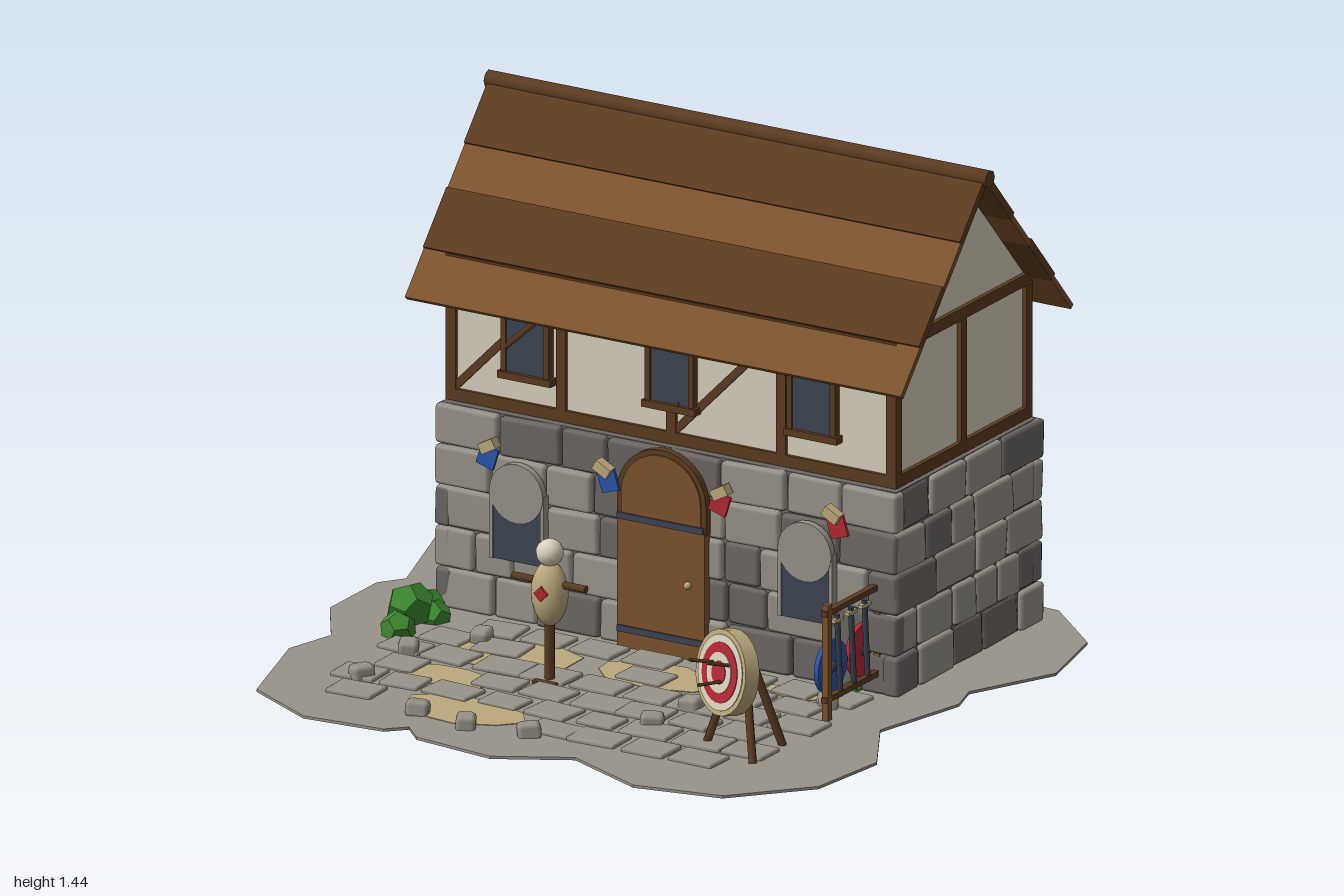
import * as THREE from 'three';
import { RoundedBoxGeometry } from 'three/addons/geometries/RoundedBoxGeometry.js';

const mat = (name, color) => Object.assign(new THREE.MeshStandardMaterial({ color }), { name });
const plaster = mat('plaster', 0xd9d1be), timber = mat('dark timber', 0x5c3c20), wood = mat('light wood', 0x7c532c);
const stone = mat('stone', 0x98938a), darkStone = mat('dark stone', 0x6c6763), glass = mat('glass and iron', 0x3d4454);
const sand = mat('sand and straw', 0xbcaa7c), red = mat('red', 0xb52834), blue = mat('blue', 0x2b55ad), green = mat('leaf green', 0x3c8630);

let seed = 7;
const rnd = (a = 0, b = 1) => {
  seed = (seed * 16807) % 2147483647;
  return a + (b - a) * seed / 2147483647;
};

function add(parent, name, geo, material, x = 0, y = 0, z = 0) {
  const m = new THREE.Mesh(geo, material);
  m.name = name;
  m.position.set(x, y, z);
  parent.add(m);
  return m;
}
const box = (p, name, m, w, h, d, x, y, z) => add(p, name, new THREE.BoxGeometry(w, h, d), m, x, y, z);
const group = (p, name, x = 0, y = 0, z = 0) => {
  const g = new THREE.Group();
  g.name = name;
  g.position.set(x, y, z);
  p.add(g);
  return g;
};
// Round bar between two points
function bar(p, name, m, a, b, r, sides = 6) {
  const A = new THREE.Vector3(...a), B = new THREE.Vector3(...b), d = B.clone().sub(A);
  const o = add(p, name, new THREE.CylinderGeometry(r, r, d.length(), sides), m);
  o.position.copy(A).add(B).multiplyScalar(0.5);
  o.quaternion.setFromUnitVectors(new THREE.Vector3(0, 1, 0), d.normalize());
  return o;
}
// Disc facing +z
const disc = (p, name, m, r, t, x, y, z, n = 24) =>
  add(p, name, new THREE.CylinderGeometry(r, r, t, n).rotateX(Math.PI / 2), m, x, y, z);
// Flat outline lying on the ground, given as x, z pairs
function slab(p, name, m, pts, t, y) {
  const s = new THREE.Shape(pts.map(([x, z]) => new THREE.Vector2(x, -z)));
  return add(p, name, new THREE.ExtrudeGeometry(s, { depth: t, bevelEnabled: false }).rotateX(-Math.PI / 2), m, 0, y, 0);
}

const CX = 0.016, CZ = -0.43;

function buildGround(root) {
  const g = group(root, 'ground');
  slab(g, 'groundSlab', stone, [[-.65, -.93], [-.37, -.91], [-.33, -.88], [-.13, -.88], [.10, -.91], [.15, -.88], [.43, -.88],
    [.47, -.91], [.74, -.89], [.94, -.71], [1, -.45], [.88, -.2], [.91, -.1], [.84, .19], [.97, .42], [.94, .67], [.76, .87],
    [.51, .92], [.26, .81], [.06, .92], [-.19, .89], [-.25, .83], [-.3, .88], [-.54, .9], [-.76, .78], [-.86, .45],
    [-.82, .3], [-.94, .11], [-.94, -.13], [-.89, -.2], [-1, -.53], [-.89, -.78]], 0.008, 0.034);
  // Sandy patches
  for (const [x, z, rx, rz] of [[-.3, .2, .2, .14], [.1, .13, .2, .1], [-.2, .64, .2, .1], [-.38, .42, .15, .08], [.5, .05, .1, .05]]) {
    const pts = Array.from({ length: 9 }, (_, i) => {
      const a = i * Math.PI * 2 / 9, k = rnd(.8, 1.1);
      return [x + Math.cos(a) * rx * k, z + Math.sin(a) * rz * k];
    });
    slab(g, 'sandPatch', sand, pts, 0.003, 0.041);
  }
  // Paving in staggered rows
  for (let r = 0; r < 6; r++) {
    for (let c = 0; c < 9; c++) {
      const x = -.6 + c * .155 + (r % 2) * .07 + rnd(-.01, .01), z = .035 + r * .123;
      const w = rnd(.115, .15), d = rnd(.09, .11), a = rnd(-.1, .1);
      if (x > .67 || (r === 5 && c > 0 && c < 4) || (r < 2 && (c === 3 || c === 5) && rnd() < .8) || rnd() < .06) continue;
      add(g, 'pavingStone', new RoundedBoxGeometry(w, .018, d, 1, .006), stone, x, .044, z).rotation.y = a;
    }
  }
  // Loose boulders around the yard
  for (const [x, z] of [[-.57, .31], [-.57, .55], [-.29, .72], [-.12, .75], [.06, .72], [.3, .48], [.32, .31], [.29, .14], [.62, .1], [-.45, .13]]) {
    const b = add(g, 'boulder', new RoundedBoxGeometry(.065, .05, .055, 1, .014), stone, x, .055, z);
    b.rotation.set(rnd(-.15, .15), rnd(0, 3), rnd(-.15, .15));
  }
  // Leafy clumps
  for (const [x, y, z, r] of [[-.7, .085, .09, .068], [-.67, .06, .2, .05], [-.7, .06, .01, .055], [-.65, .05, .05, .05],
    [.57, .03, -.33, .034], [.24, .03, -.48, .034], [-.25, .03, -.72, .034], [.6, .03, -.05, .034]]) {
    add(g, 'bush', new THREE.DodecahedronGeometry(r), green, x, y, z).rotation.set(.3, x * 9 + z * 5, .2);
  }
}

function buildStonework(root) {
  const g = group(root, 'stoneFloor', CX, 0, CZ);
  box(g, 'wallCore', darkStone, 1.43, .585, .72, 0, .325, 0);
  // One wall of five courses, centred on local x and facing local +z
  const wall = (len, dist, ang) => {
    const w = group(g, 'stoneWall');
    w.rotation.y = ang;
    for (let r = 0; r < 5; r++) {
      let x = -len / 2;
      while (x < len / 2 - .01) {
        let bw = rnd(.11, .22);
        if (len / 2 - x - bw < .09) bw = len / 2 - x;
        const b = add(w, 'stoneBlock', new RoundedBoxGeometry(bw - .005, .112, .05, 1, .011),
          rnd() < .3 ? darkStone : stone, x + bw / 2, .096 + r * .116, dist - .027 + rnd(-.006, .004));
        b.rotation.set(rnd(-.05, .05), rnd(-.03, .03), rnd(-.02, .02));
        x += bw;
      }
    }
  };
  for (const k of [0, 2]) wall(1.46, .38, k * Math.PI / 2);
  for (const k of [1, 3]) wall(.76, .73, k * Math.PI / 2);
}

function buildUpperFloor(root) {
  const g = group(root, 'upperFloor', CX, 0, CZ);
  // Plaster walls and gables in one prism
  const s = new THREE.Shape([[-.34, .62], [.34, .62], [.34, 1.02], [0, 1.395], [-.34, 1.02]].map(p => new THREE.Vector2(...p)));
  add(g, 'plasterWalls', new THREE.ExtrudeGeometry(s, { depth: 1.39, bevelEnabled: false }).rotateY(Math.PI / 2), plaster, -.695);
  for (const side of [1, -1]) {
    for (const y of [.64, 1.02]) {
      box(g, 'longBeam', timber, 1.416, .034, .03, 0, y, side * .335);
      box(g, 'gableBeam', timber, .03, .034, .7, side * .693, y, 0);
    }
    for (const x of [-.692, -.346, 0, .346, .692])
      box(g, 'wallPost', timber, .03, .38, .03, x, .83, side * .336);
    for (const z of [-.335, 0, .335])
      box(g, 'gablePost', timber, .03, .38, .03, side * .693, .83, z);
    for (const x of [-.519, .173])
      box(g, 'diagonalBrace', timber, .47, .022, .022, x, .83, side * .336).rotation.z = .8;
  }
  // Upper windows
  for (const x of [-.45, .004, .45]) {
    const w = group(g, 'upperWindow', x, .825, .355);
    box(w, 'pane', glass, .13, .19, .012, 0, 0, 0);
    for (const sx of [-1, 1]) box(w, 'sideFrame', timber, .016, .19, .024, sx * .068, 0, 0);
    box(w, 'topFrame', timber, .15, .016, .024, 0, .095, 0);
    box(w, 'sill', timber, .168, .02, .034, 0, -.093, 0);
    if (x < .4) bar(w, 'braceOverPane', timber, [x < 0 ? -.07 : .0, x < 0 ? -.02 : -.1, .006], [x < 0 ? .05 : .03, x < 0 ? .09 : -.08, .006], .008, 4);
  }
}

function buildRoof(root) {
  const slope = Math.atan2(.5, .447);
  for (const back of [0, 1]) {
    const g = group(root, 'roofSlope', CX, 1.43, CZ);
    g.rotation.order = 'YXZ';
    g.rotation.set(slope, back * Math.PI, 0);
    [[0, .31], [.31, .51], [.51, .78], [.78, 1]].forEach(([a, b], i) => {
      const dark = i % 2 === 0;
      box(g, 'roofBoard', dark ? timber : wood, 1.56, dark ? .022 : .016, (b - a) * .67, 0, dark ? -.009 : -.013, (a + b) / 2 * .67);
    });
  }
  bar(root, 'ridgePole', timber, [-.772, 1.415, CZ], [.805, 1.415, CZ], .025, 8);
}

function buildFront(root) {
  const g = group(root, 'frontFittings', 0, 0, -.04);
  // Arched door
  const arch = new THREE.Shape();
  arch.moveTo(.14, .4).lineTo(.14, .48).absarc(0, .48, .14, 0, Math.PI, false).lineTo(-.14, .4);
  add(g, 'doorArch', new THREE.ExtrudeGeometry(arch, { depth: .024, bevelEnabled: false }), timber, CX, 0, -.015);
  const inner = new THREE.Shape();
  inner.moveTo(.125, .4).lineTo(.125, .48).absarc(0, .48, .125, 0, Math.PI, false).lineTo(-.125, .4);
  add(g, 'doorHead', new THREE.ExtrudeGeometry(inner, { depth: .004, bevelEnabled: false }), wood, CX, 0, .009);
  box(g, 'doorLeaf', wood, .275, .37, .026, CX, .225, 0);
  for (const y of [.095, .415]) box(g, 'ironBand', glass, .27, .018, .008, CX, y, .015);
  add(g, 'doorKnob', new THREE.SphereGeometry(.011, 10, 8), sand, .105, .255, .02);
  // Lower windows with round stone heads
  for (const x of [-.437, .47]) {
    const w = group(g, 'lowerWindow', x, 0, 0);
    box(w, 'pane', glass, .16, .21, .016, 0, .325, .002);
    disc(w, 'stoneHead', stone, .084, .022, 0, .415, .005);
    for (const sx of [-1, 1]) box(w, 'jamb', stone, .012, .2, .024, sx * .08, .32, .002);
  }
  // Small wall pennants
  [-.52, -.16, .21, .56].forEach((x, i) => {
    const p = group(g, 'pennant', x, .54, .012);
    box(p, 'bracket', sand, .05, .03, .03, 0, 0, .006).rotation.z = i % 2 ? -.5 : .5;
    const c = box(p, 'cloth', i < 2 ? blue : red, .055, .06, .009, (i % 2 ? .012 : -.008), -.035, 0);
    c.rotation.z = i % 2 ? .3 : -.3;
  });
}

function buildDummy(root) {
  const g = group(root, 'trainingDummy', -.12, 0, .32);
  box(g, 'base', timber, .07, .02, .07, 0, .04, 0);
  bar(g, 'post', timber, [0, .03, 0], [0, .4, 0], .014, 8);
  add(g, 'strawBody', new THREE.SphereGeometry(1, 14, 10).scale(.053, .092, .045), sand, 0, .295, 0);
  add(g, 'head', new THREE.SphereGeometry(.038, 14, 10), plaster, 0, .41, 0);
  bar(g, 'arms', timber, [-.115, .325, 0], [.115, .325, 0], .011, 8);
  box(g, 'chestMark', red, .03, .03, .009, 0, .305, .045).rotation.z = Math.PI / 4;
}

function buildTarget(root) {
  const g = group(root, 'archeryTarget', .58, .265, .55);
  g.rotation.set(-.16, -.43, 0, 'YXZ');
  disc(g, 'strawDisc', sand, .118, .045, 0, 0, 0, 20);
  [[.104, plaster], [.083, red], [.056, plaster], [.032, red]].forEach(([r, m], i) => disc(g, 'targetRing', m, r, .004, 0, 0, .023 + i * .002));
  for (const [x, y] of [[-.03, .02], [.015, -.02], [.04, .03]])
    bar(g, 'arrow', timber, [x, y, .02], [x * 1.2, y * 1.4, .105], .005);
  // Easel legs
  for (const [x, z] of [[.5, .53], [.69, .6], [.68, .43]])
    bar(root, 'targetLeg', timber, [.6, .35, .5], [x, .04, z], .012);
}

function buildRack(root) {
  const g = group(root, 'weaponRack', .675, 0, .06);
  for (const z of [-.13, .135]) box(g, 'rackPost', wood, .02, .33, .02, 0, .205, z);
  for (const y of [.1, .345]) box(g, 'rackRail', timber, .018, .016, .3, 0, y, 0);
  for (const z of [-.06, .01, .08]) {
    bar(g, 'blade', glass, [0, .09, z - .015], [.006, .33, z + .012], .008);
    box(g, 'swordGuard', sand, .014, .01, .045, .006, .315, z + .01);
  }
  [[.07, blue], [-.09, red]].forEach(([z, m]) => {
    const s = group(g, 'shield', -.028, .17, z);
    s.rotation.y = Math.PI / 2;
    disc(s, 'shieldFace', m, .075, .014, 0, 0, 0);
    add(s, 'boss', new THREE.SphereGeometry(.018, 10, 8), glass);
  });
}

export function createModel() {
  const root = new THREE.Group();
  root.name = 'timberFramedHouse';
  [buildGround, buildStonework, buildUpperFloor, buildRoof, buildFront, buildDummy, buildTarget, buildRack].forEach(f => f(root));
  return root;
}
